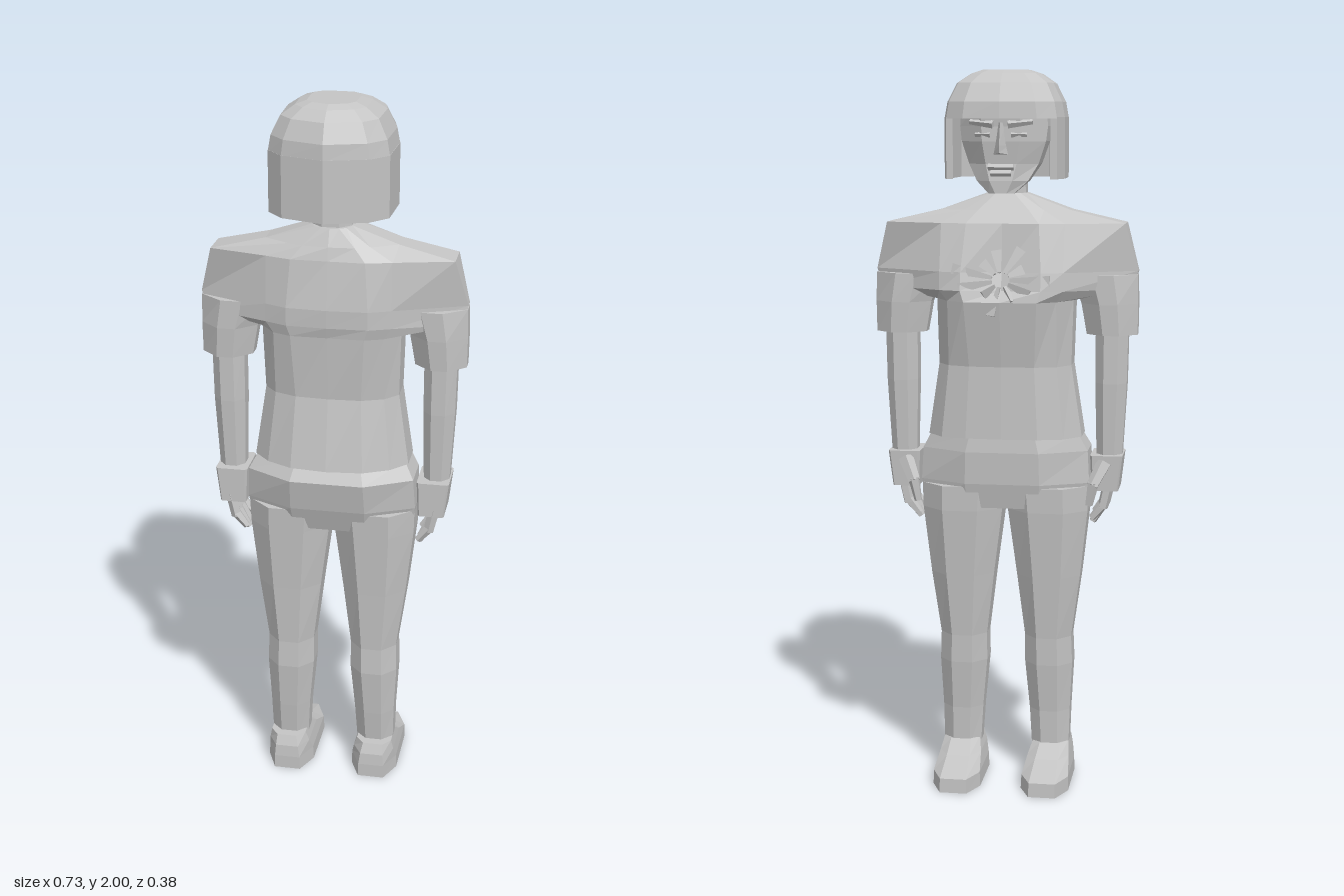
import * as THREE from 'three';

export function createModel() {
  const root = new THREE.Group();
  root.name = 'standingFigure';
  const grey = new THREE.MeshStandardMaterial({ color: 0xc4c4c4, flatShading: true, side: THREE.DoubleSide });
  grey.name = 'plain grey';

  function add(name, geo, parent = root) {
    const m = new THREE.Mesh(geo, grey);
    m.name = name;
    parent.add(m);
    return m;
  }

  // Skin rings of [x, y, z], listed bottom to top, and close both ends
  function loft(rings, side = 1) {
    const rs = rings.map(r => {
      const q = r.map(([x, y, z]) => [x * side, y, z]);
      return side < 0 ? q.reverse() : q;
    });
    const pos = [], n = rs[0].length;
    const tri = (a, b, c) => pos.push(...a, ...b, ...c);
    const mid = r => [0, 1, 2].map(k => r.reduce((t, p) => t + p[k], 0) / n);
    const low = rs[0], top = rs[rs.length - 1], lowMid = mid(low), topMid = mid(top);
    for (let i = 0; i < n; i++) {
      const j = (i + 1) % n;
      for (let k = 0; k < rs.length - 1; k++) {
        tri(rs[k][i], rs[k][j], rs[k + 1][j]);
        tri(rs[k][i], rs[k + 1][j], rs[k + 1][i]);
      }
      tri(lowMid, low[j], low[i]);
      tri(topMid, top[i], top[j]);
    }
    const g = new THREE.BufferGeometry();
    g.setAttribute('position', new THREE.Float32BufferAttribute(pos, 3));
    g.computeVertexNormals();
    return g;
  }

  // Eight-cornered ring: a rectangle with cut corners
  function oct([y, x0, x1, z0, z1], cut = 0.28) {
    const bx = (x1 - x0) * cut, bz = (z1 - z0) * cut;
    return [[x1, z1 - bz], [x1, z0 + bz], [x1 - bx, z0], [x0 + bx, z0],
      [x0, z0 + bz], [x0, z1 - bz], [x0 + bx, z1], [x1 - bx, z1]].map(([x, z]) => [x, y, z]);
  }
  const octLoft = (rows, side = 1, cut = 0.28) => loft(rows.map(r => oct(r, cut)), side);

  function bar(name, a, b, r0, r1, parent, sides = 5) {
    const p = new THREE.Vector3(...a), d = new THREE.Vector3(...b).sub(p);
    const m = add(name, new THREE.CylinderGeometry(r1, r0, d.length(), sides), parent);
    m.position.copy(p).addScaledVector(d, 0.5);
    m.quaternion.setFromUnitVectors(new THREE.Vector3(0, 1, 0), d.normalize());
  }

  // Shirt: y, three half widths, three chest depths, three back depths, side edge
  const shirtRows = [
    [1.0, 0.1, 0.17, 0.215, -0.11, -0.105, -0.085, 0.155, 0.145, 0.11, -0.03, 0.06],
    [1.2, 0.09, 0.15, 0.185, -0.105, -0.1, -0.08, 0.118, 0.113, 0.09, -0.03, 0.05],
    [1.38, 0.1, 0.15, 0.19, -0.14, -0.135, -0.1, 0.13, 0.13, 0.11, -0.03, 0.06],
    [1.41, 0.11, 0.17, 0.35, -0.11, -0.13, -0.11, 0.138, 0.134, 0.11, 0, 0.04],
    [1.46, 0.11, 0.17, 0.365, -0.095, -0.12, -0.108, 0.14, 0.135, 0.11, 0, 0.03],
    [1.59, 0.1, 0.17, 0.33, -0.085, -0.085, -0.075, 0.12, 0.12, 0.1, -0.03, 0.06],
    [1.625, 0.07, 0.11, 0.18, -0.06, -0.06, -0.05, 0.11, 0.105, 0.09, -0.02, 0.05],
    [1.67, 0.025, 0.042, 0.055, -0.03, -0.03, -0.025, 0.09, 0.085, 0.075, 0, 0.05],
  ];
  add('shirt', loft(shirtRows.map(([y, a, b, c, f0, f1, f2, k0, k1, k2, s0, s1]) =>
    [[c, s1], [c, s0], [b, f2], [a, f1], [0, f0], [-a, f1], [-b, f2],
      [-c, s0], [-c, s1], [-b, k2], [-a, k1], [0, k0], [a, k1], [b, k2]].map(([x, z]) => [x, y, z]))));

  // Crumpled folds on the chest
  const folds = new THREE.Group();
  folds.name = 'chestFolds';
  root.add(folds);
  const count = 11;
  for (let i = 0; i < count; i++) {
    const t = (i / count) * Math.PI * 2 + 0.3, u = 0.75 + 0.25 * Math.cos(i * 2.4);
    const c = Math.cos(t), s = Math.sin(t);
    bar('fold', [c * 0.025, 1.44 + s * 0.02, -0.115],
      [c * 0.14 * u, 1.44 + s * 0.1 * u, -0.113 + s * 0.02], 0.006, 0.017, folds, 3);
  }

  // Trousers
  add('hips', octLoft([
    [0.8, -0.225, 0.225, -0.08, 0.105], [0.87, -0.237, 0.237, -0.095, 0.13],
    [0.96, -0.232, 0.232, -0.1, 0.15], [1.01, -0.205, 0.205, -0.095, 0.12]]));

  for (const [side, label] of [[1, 'left'], [-1, 'right']]) {
    const leg = new THREE.Group(), arm = new THREE.Group();
    leg.name = label + 'Leg';
    arm.name = label + 'Arm';
    root.add(leg, arm);

    add('trouserLeg', octLoft([
      [0.08, 0.075, 0.18, -0.03, 0.07], [0.2, 0.068, 0.183, -0.035, 0.085],
      [0.34, 0.055, 0.19, -0.05, 0.098], [0.42, 0.055, 0.187, -0.053, 0.095],
      [0.6, 0.033, 0.212, -0.07, 0.103], [0.79, 0.008, 0.233, -0.088, 0.115],
      [0.86, 0, 0.235, -0.09, 0.12]], side), leg);
    add('shoe', octLoft([
      [0, 0.058, 0.193, -0.19, 0.115], [0.04, 0.06, 0.192, -0.188, 0.115],
      [0.075, 0.068, 0.186, -0.09, 0.112], [0.105, 0.078, 0.18, -0.03, 0.1]], side, 0.22), leg);

    add('sleeve', octLoft([
      [1.285, 0.225, 0.365, -0.055, 0.075], [1.37, 0.21, 0.366, -0.06, 0.08],
      [1.45, 0.18, 0.364, -0.06, 0.08]], side, 0.34), arm);
    add('forearm', octLoft([
      [0.93, 0.255, 0.325, -0.03, 0.05], [1.15, 0.25, 0.337, -0.04, 0.06],
      [1.32, 0.25, 0.34, -0.04, 0.06]], side), arm);
    add('hand', octLoft([
      [0.85, 0.245, 0.318, -0.045, 0.075], [0.95, 0.24, 0.33, -0.05, 0.075]], side, 0.06), arm);
    for (let i = 0; i < 4; i++) {
      const z = 0.06 - i * 0.03, drop = i % 3 ? 0 : 0.015;
      bar('fingerBase', [0.29 * side, 0.87, z], [0.275 * side, 0.8, z], 0.016, 0.015, arm);
      bar('fingerTip', [0.277 * side, 0.81, z], [0.245 * side, 0.755 + drop, z], 0.015, 0.01, arm);
    }
    bar('thumb', [0.28 * side, 0.93, -0.045], [0.25 * side, 0.87, -0.077], 0.022, 0.017, arm);
    bar('thumbTip', [0.252 * side, 0.88, -0.074], [0.24 * side, 0.815, -0.072], 0.017, 0.011, arm);
  }

  // Neck and face
  add('neck', octLoft([[1.6, -0.055, 0.055, -0.025, 0.08], [1.76, -0.05, 0.05, -0.025, 0.075]]));
  add('head', octLoft([
    [1.672, -0.035, 0.035, -0.112, -0.07], [1.705, -0.07, 0.07, -0.112, 0.0],
    [1.75, -0.095, 0.095, -0.105, 0.08], [1.81, -0.115, 0.115, -0.113, 0.1],
    [1.85, -0.12, 0.12, -0.112, 0.11], [1.92, -0.115, 0.115, -0.12, 0.11]]));
  add('nose', loft([
    [[0.024, 1.775, -0.1], [0, 1.78, -0.146], [-0.024, 1.775, -0.1]],
    [[0.02, 1.8, -0.1], [0, 1.8, -0.143], [-0.02, 1.8, -0.1]],
    [[0.012, 1.86, -0.1], [0, 1.86, -0.123], [-0.012, 1.86, -0.1]]]));
  bar('upperLip', [-0.035, 1.742, -0.108], [0.035, 1.742, -0.108], 0.009, 0.009, root, 4);
  bar('lowerLip', [-0.028, 1.726, -0.11], [0.028, 1.726, -0.11], 0.009, 0.009, root, 4);
  for (const s of [-1, 1]) {
    bar('brow', [s * 0.02, 1.855, -0.117], [s * 0.085, 1.862, -0.103], 0.011, 0.007, root, 4);
    bar('eye', [s * 0.028, 1.828, -0.112], [s * 0.07, 1.828, -0.104], 0.008, 0.006, root, 4);
  }

  // Bobbed hair: closed crown above, open-fronted curtain below
  const half = [[0.15, -0.1], [0.165, -0.04], [0.16, 0.1], [0.115, 0.15]];
  const mirror = a => a.map(([x, z]) => [-x, z]);
  const curve = [...half, [0, 0.185], ...mirror(half).reverse()];
  const outline = [[0.1, -0.135], [0, -0.14], [-0.1, -0.135], ...mirror(half),
    [0, 0.185], ...[...half].reverse()];
  const crown = [[1.87, 1, 1], [1.915, 0.95, 0.98], [1.965, 0.8, 0.84], [1.99, 0.58, 0.64], [2, 0.4, 0.48]];
  add('hairCrown', loft(crown.map(([y, sx, sz]) => outline.map(([x, z]) => [x * sx, y, 0.022 + (z - 0.022) * sz]))));
  const inner = [...curve].reverse().map(([x, z]) => [x * 0.88, z > -0.09 ? z * 0.9 : z]);
  const shape = new THREE.Shape([...curve, ...inner].map(([x, z]) => new THREE.Vector2(x, -z)));
  const curtain = new THREE.ExtrudeGeometry(shape, { depth: 0.165, bevelEnabled: false });
  curtain.rotateX(-Math.PI / 2).translate(0, 1.71, 0);
  add('hairCurtain', curtain);

  return root;
}
